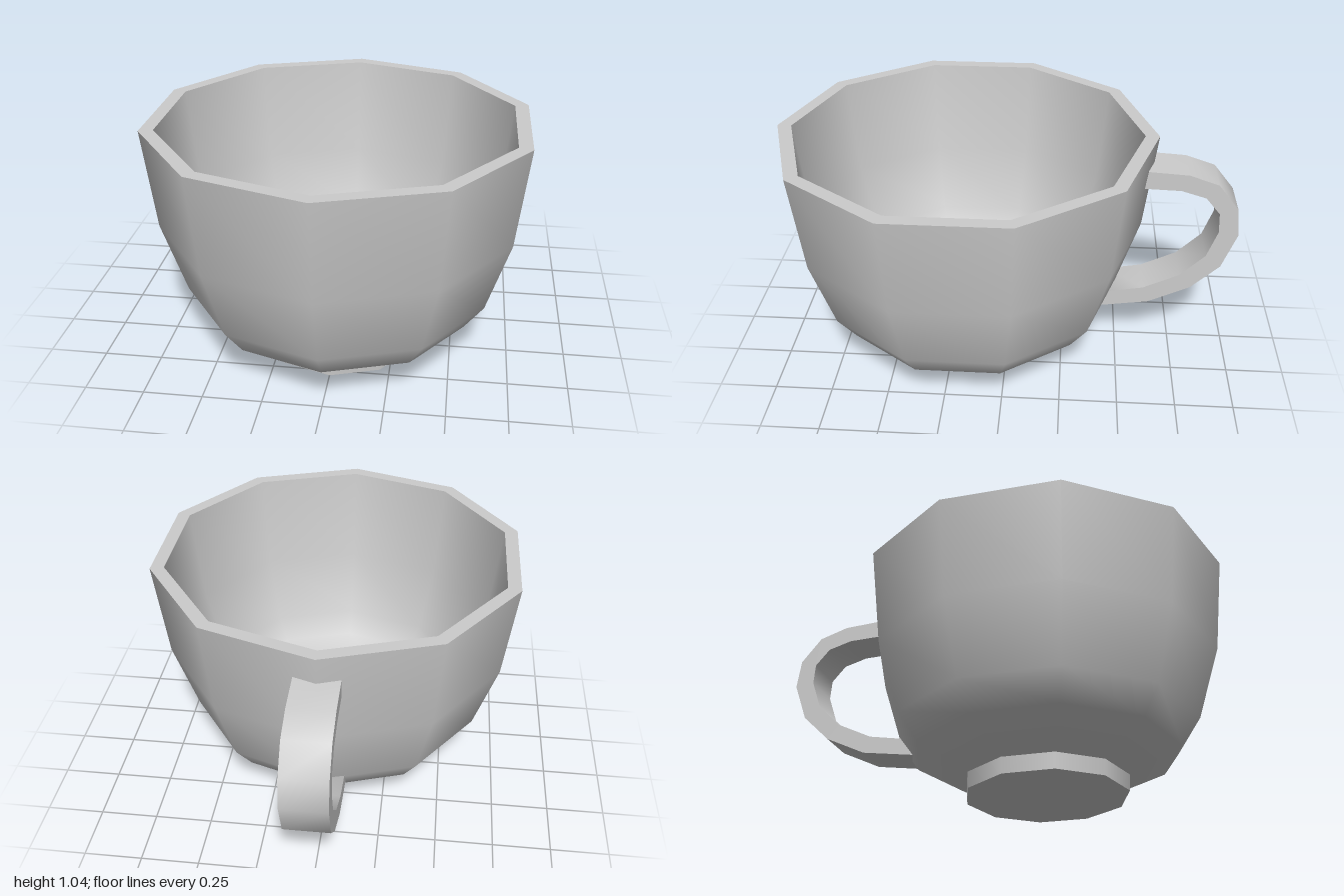
import * as THREE from 'three';
import { toCreasedNormals } from 'three/addons/utils/BufferGeometryUtils.js';

const SIDES = 10;
const CUP_Z = 0.182;
const HANDLE_WIDTH = 0.188;
const vectors = (pts) => pts.map(([a, b]) => new THREE.Vector2(a, b));

export function createModel() {
  const model = new THREE.Group();
  model.name = 'teacup';
  const ceramic = new THREE.MeshStandardMaterial({ color: 0xcccccc });
  ceramic.name = 'grey ceramic';

  // Ten-sided cup: each section is smooth, with sharp edges between sections
  const cup = new THREE.Group();
  cup.name = 'cup';
  cup.position.z = CUP_Z;
  const sections = {
    base: [[0, 0], [0.354, 0]],
    foot: [[0.354, 0], [0.358, 0.07]],
    outerWall: [[0.358, 0.07], [0.584, 0.18], [0.668, 0.295], [0.768, 0.61], [0.817, 1.037]],
    rim: [[0.817, 1.037], [0.757, 1.037]],
    innerWall: [[0.757, 1.037], [0.71, 0.615], [0.615, 0.32], [0.54, 0.225], [0.34, 0.13], [0, 0.13]],
  };
  for (const [name, profile] of Object.entries(sections)) {
    const mesh = new THREE.Mesh(new THREE.LatheGeometry(vectors(profile), SIDES), ceramic);
    mesh.name = name;
    cup.add(mesh);
  }
  model.add(cup);

  // Handle: side outline in z and y, extruded across x
  const outer = [[-0.592, 0.917], [-0.764, 0.906], [-0.892, 0.863], [-0.983, 0.751], [-1, 0.622],
    [-0.94, 0.456], [-0.817, 0.338], [-0.635, 0.252], [-0.4, 0.218]];
  const inner = [[-0.581, 0.836], [-0.737, 0.831], [-0.844, 0.799], [-0.908, 0.724], [-0.914, 0.633],
    [-0.871, 0.509], [-0.764, 0.402], [-0.608, 0.327], [-0.453, 0.3]];
  const outline = new THREE.Shape(vectors([...outer, ...inner.reverse()]));
  const geometry = new THREE.ExtrudeGeometry(outline, { depth: HANDLE_WIDTH, bevelEnabled: false });
  geometry.rotateY(-Math.PI / 2);
  geometry.translate(HANDLE_WIDTH / 2, 0, 0);
  const handle = new THREE.Mesh(toCreasedNormals(geometry, Math.PI / 3.6), ceramic);
  handle.name = 'handle';
  model.add(handle);

  return model;
}
